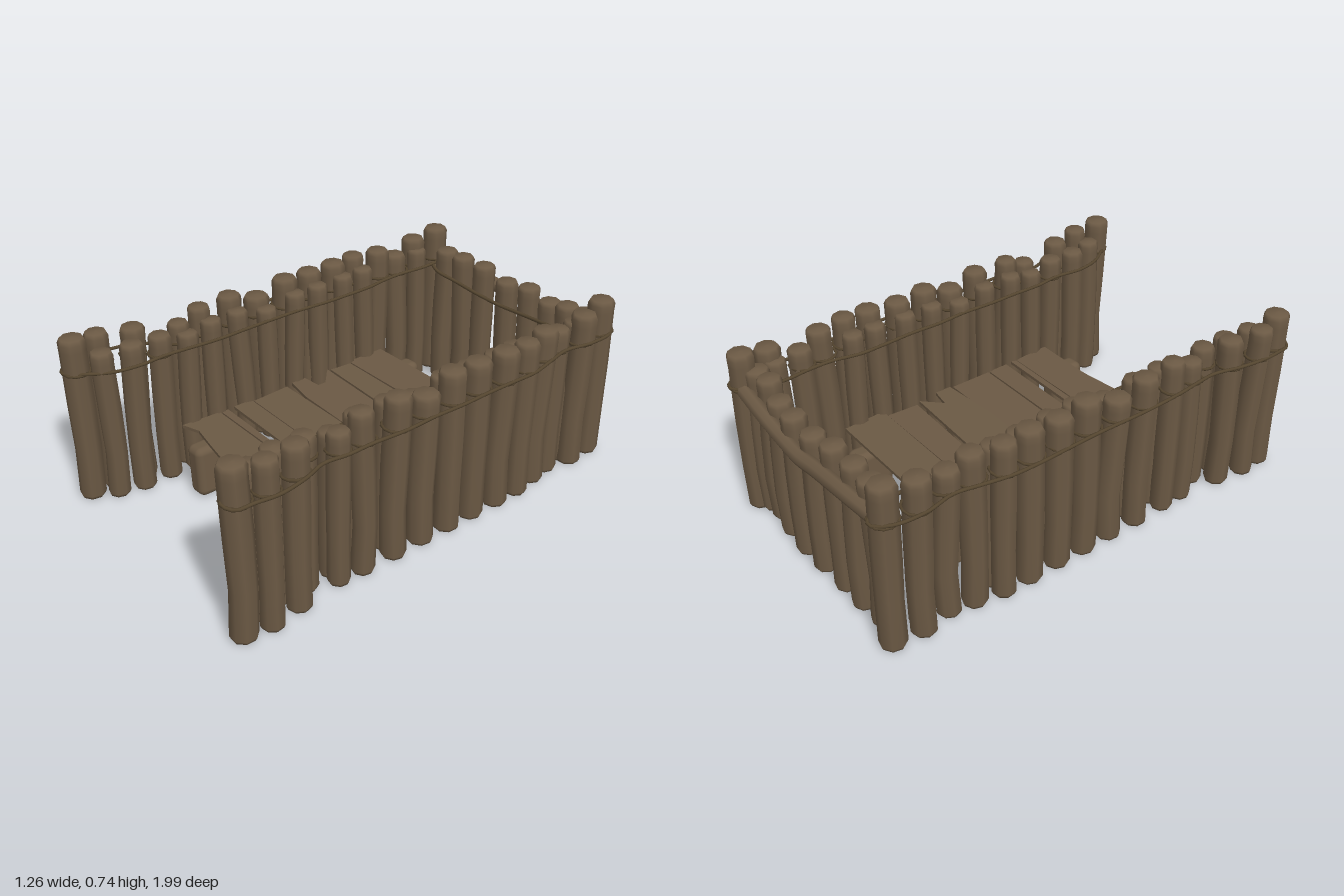
import * as THREE from 'three';
import { RoundedBoxGeometry } from 'three/addons/geometries/RoundedBoxGeometry.js';

export function createModel() {
  const model = new THREE.Group();
  const wood = new THREE.MeshStandardMaterial({ color: 0x6b5944 });
  wood.name = 'wood';
  const ropeBrown = new THREE.MeshStandardMaterial({ color: 0x54452f });
  ropeBrown.name = 'ropeBrown';

  let seed = 7;
  const jitter = (a) => {
    seed = (seed * 16807) % 2147483647;
    return (seed / 2147483647 - 0.5) * 2 * a;
  };

  function add(name, geometry, material, parent = model) {
    const mesh = new THREE.Mesh(geometry, material);
    mesh.name = name;
    parent.add(mesh);
    return mesh;
  }

  // Eight-sided log, slightly bent, with worn rims
  function log(name, x, z, height, radius, parent) {
    const profile = [[0, 0], [0.86, 0], [0.98, 0.02], [0.95, 0.3], [1, 0.6], [0.98, 0.93], [1, 0.975], [0.84, 1], [0, 1.005]]
      .map(([r, y]) => new THREE.Vector2(r * radius, y * (height - 0.005)));
    const geo = new THREE.LatheGeometry(profile, 8);
    geo.rotateY(jitter(0.4));
    const bendX = jitter(0.009), bendZ = jitter(0.009);
    const pos = geo.attributes.position;
    for (let i = 0; i < pos.count; i++) {
      const s = Math.sin((pos.getY(i) / height) * Math.PI * 1.6);
      pos.setX(i, pos.getX(i) + bendX * s);
      pos.setZ(i, pos.getZ(i) + bendZ * s);
    }
    add(name, geo, wood, parent).position.set(x, 0.005, z);
  }

  function tube(name, points, radius, closed, material, parent) {
    const curve = new THREE.CatmullRomCurve3(points.map((p) => new THREE.Vector3(...p)), closed);
    return add(name, new THREE.TubeGeometry(curve, points.length * 5, radius, 8, closed), material, parent);
  }

  // Side wall posts: distance from centre, z, height, radius
  const outer = [
    [0.556, 0.932, 0.74, 0.056], [0.573, 0.82, 0.72, 0.05], [0.55, 0.685, 0.71, 0.053],
    [0.48, 0.6, 0.675, 0.049], [0.53, 0.485, 0.675, 0.047], [0.535, 0.375, 0.715, 0.049],
    [0.535, 0.222, 0.715, 0.054], [0.53, 0.08, 0.675, 0.057], [0.532, -0.058, 0.72, 0.057],
    [0.532, -0.19, 0.71, 0.056], [0.535, -0.328, 0.715, 0.056], [0.537, -0.45, 0.715, 0.052],
    [0.513, -0.57, 0.715, 0.054], [0.495, -0.675, 0.675, 0.052], [0.518, -0.803, 0.715, 0.055],
    [0.506, -0.928, 0.74, 0.056],
  ];
  const inner = [
    [0.494, 0.842, 0.675, 0.048], [0.475, 0.73, 0.675, 0.05], [0.47, 0.48, 0.645, 0.046],
    [0.468, 0.36, 0.67, 0.046], [0.467, 0.218, 0.67, 0.046], [0.472, 0.078, 0.64, 0.046],
    [0.468, -0.062, 0.67, 0.046], [0.468, -0.194, 0.67, 0.046], [0.468, -0.34, 0.67, 0.046],
    [0.466, -0.455, 0.67, 0.046], [0.478, -0.79, 0.67, 0.046],
  ];
  // Rope loop round each wall, as [distance from centre, z]
  const ropePath = [
    [0.555, 0.99], [0.605, 0.965], [0.617, 0.9], [0.622, 0.8], [0.605, 0.68], [0.57, 0.58], [0.58, 0.48],
    [0.588, 0.37], [0.591, 0.22], [0.59, 0.08], [0.59, -0.06], [0.59, -0.19], [0.593, -0.33], [0.59, -0.45],
    [0.57, -0.57], [0.55, -0.675], [0.573, -0.8], [0.563, -0.93], [0.506, -0.986], [0.45, -0.93],
    [0.43, -0.8], [0.443, -0.67], [0.44, -0.57], [0.418, -0.45], [0.42, -0.34], [0.42, -0.19],
    [0.42, -0.06], [0.423, 0.08], [0.42, 0.22], [0.42, 0.36], [0.423, 0.48], [0.43, 0.6],
    [0.424, 0.73], [0.445, 0.84], [0.5, 0.93],
  ];
  for (const side of [1, -1]) {
    const wall = new THREE.Group();
    wall.name = side > 0 ? 'leftWall' : 'rightWall';
    model.add(wall);
    outer.forEach(([x, z, h, r]) => log('outerPost', side * x, z, h, r, wall));
    inner.forEach(([x, z, h, r]) => log('innerPost', side * x, z, h, r, wall));
    tube('wallRope', ropePath.map(([x, z]) => [side * x, 0.597 + jitter(0.004), z]), 0.007, true, ropeBrown, wall);
    // Lashings round the tall posts
    outer.forEach(([x, z, , r]) => {
      const ring = add('lashing', new THREE.TorusGeometry(r, 0.006, 6, 12), ropeBrown, wall);
      ring.position.set(side * x, 0.592, z);
      ring.rotation.set(Math.PI / 2 + jitter(0.08), jitter(0.08), 0);
    });
  }

  // Back wall posts
  const backWall = new THREE.Group();
  backWall.name = 'backWall';
  model.add(backWall);
  [[-0.385, -0.89, 0.67], [-0.27, -0.9, 0.675], [-0.146, -0.902, 0.675], [-0.003, -0.91, 0.645],
    [0.127, -0.915, 0.66], [0.263, -0.905, 0.645], [0.377, -0.888, 0.675], [0.455, -0.895, 0.675]]
    .forEach(([x, z, h]) => log('backPost', x, z, h, 0.052, backWall));

  // Sagging rail behind the back posts and the rope in front of them
  tube('backRail', [[-0.5, 0.585, -0.94], [-0.3, 0.582, -0.953], [-0.1, 0.566, -0.957], [0, 0.557, -0.962],
    [0.15, 0.56, -0.957], [0.3, 0.575, -0.953], [0.5, 0.588, -0.94]], 0.032, false, wood, backWall);
  tube('backRope', [[-0.45, 0.59, -0.86], [-0.385, 0.578, -0.836], [-0.27, 0.562, -0.846], [-0.146, 0.55, -0.848],
    [-0.003, 0.54, -0.856], [0.127, 0.543, -0.861], [0.263, 0.555, -0.851], [0.377, 0.573, -0.834], [0.46, 0.59, -0.84]],
  0.008, false, ropeBrown, backWall);

  // Deck planks, as [x, z] outlines
  const planks = [
    [[-0.44, -0.54], [0.44, -0.54], [0.45, -0.347], [-0.44, -0.347]],
    [[-0.42, -0.34], [0.42, -0.342], [0.41, -0.197], [-0.43, -0.232]],
    [[-0.44, -0.22], [0.42, -0.18], [0.34, -0.1], [0.43, -0.085], [0.43, -0.01], [0.15, 0.018],
      [-0.3, 0.005], [-0.44, -0.02], [-0.44, -0.092], [-0.35, -0.1], [-0.35, -0.14]],
    [[-0.43, 0.015], [0.43, 0.008], [0.43, 0.205], [-0.42, 0.2]],
    [[-0.43, 0.207], [0.43, 0.21], [0.43, 0.307], [-0.43, 0.297]],
    [[-0.43, 0.328], [0.43, 0.335], [0.43, 0.36], [-0.43, 0.362]],
    [[-0.43, 0.37], [0.43, 0.365], [0.44, 0.542], [0.15, 0.54], [-0.08, 0.568], [-0.25, 0.54], [-0.36, 0.52], [-0.44, 0.55]],
  ];
  const deck = new THREE.Group();
  deck.name = 'deck';
  model.add(deck);
  planks.forEach((outline) => {
    const shape = new THREE.Shape(outline.map(([x, z]) => new THREE.Vector2(x, -z)));
    const geo = new THREE.ExtrudeGeometry(shape, { depth: 0.014, bevelEnabled: false });
    geo.rotateX(-Math.PI / 2);
    const plank = add('plank', geo, wood, deck);
    plank.position.y = 0.228 + jitter(0.003);
    plank.rotation.z = jitter(0.006);
  });

  // Stubby slab legs under the deck
  for (const x of [-0.28, 0.28]) {
    for (const z of [-0.525, -0.035, 0.52]) {
      const leg = add('deckLeg', new RoundedBoxGeometry(0.095, 0.226, 0.17, 3, 0.03), wood, deck);
      leg.position.set(x, 0.118, z);
      leg.rotation.z = x > 0 ? -0.05 : 0.05;
    }
  }
  return model;
}
